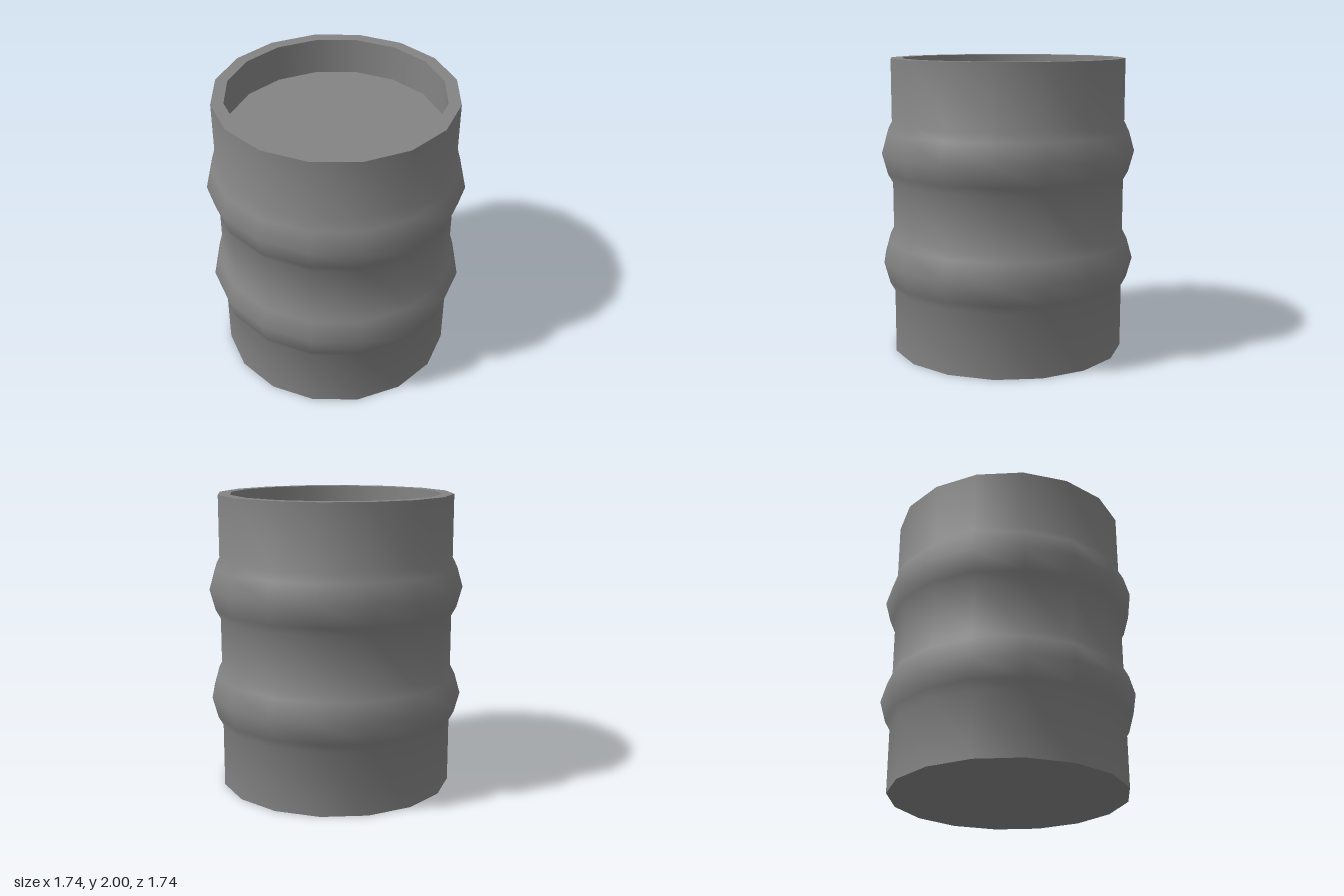
import * as THREE from 'three';

const SIDES = 16;
const R = 0.797;       // body radius
const INNER = 0.715;   // recess radius
const FLOOR = 1.75;    // height of the recessed lid

// Gives every profile point the evenly weighted mean of its neighbours' normals,
// so the soft shading of the hoops runs out across the long plain bands
function smoothProfileNormals(geometry, points) {
  const segmentNormals = points.slice(1).map((p, i) => {
    const d = p.clone().sub(points[i]).normalize();
    return new THREE.Vector2(d.y, -d.x);
  });
  const normals = geometry.attributes.normal;
  for (let side = 0; side <= SIDES; side++) {
    const angle = (side / SIDES) * Math.PI * 2;
    points.forEach((_, j) => {
      const before = segmentNormals[Math.max(j - 1, 0)];
      const after = segmentNormals[Math.min(j, segmentNormals.length - 1)];
      const n = before.clone().add(after).normalize();
      normals.setXYZ(side * points.length + j, n.x * Math.sin(angle), n.y, n.x * Math.cos(angle));
    });
  }
}

export function createModel() {
  const barrel = new THREE.Group();
  barrel.name = 'barrel';
  const material = new THREE.MeshStandardMaterial({ color: 0x848484 });

  // Each profile is lathed on its own so edges between parts stay sharp
  const addLathe = (name, profile) => {
    const points = profile.map(([r, y]) => new THREE.Vector2(r, y));
    const geometry = new THREE.LatheGeometry(points, SIDES);
    smoothProfileNormals(geometry, points);
    const mesh = new THREE.Mesh(geometry, material);
    mesh.name = name;
    barrel.add(mesh);
  };

  // Rounded hoop swelling out of the wall, centred on height y
  const hoop = (y) => [
    [R, y - 0.2], [0.83, y - 0.14], [0.868, y], [0.83, y + 0.135], [R, y + 0.2],
  ];

  addLathe('outerWall', [[R, 0], ...hoop(0.632), ...hoop(1.377), [R, 2]]);
  addLathe('rim', [[R, 2], [INNER, 2]]);
  addLathe('innerWall', [[INNER, 2], [INNER, FLOOR]]);
  addLathe('recessedLid', [[INNER, FLOOR], [0, FLOOR]]);
  addLathe('base', [[0, 0], [R, 0]]);

  return barrel;
}
